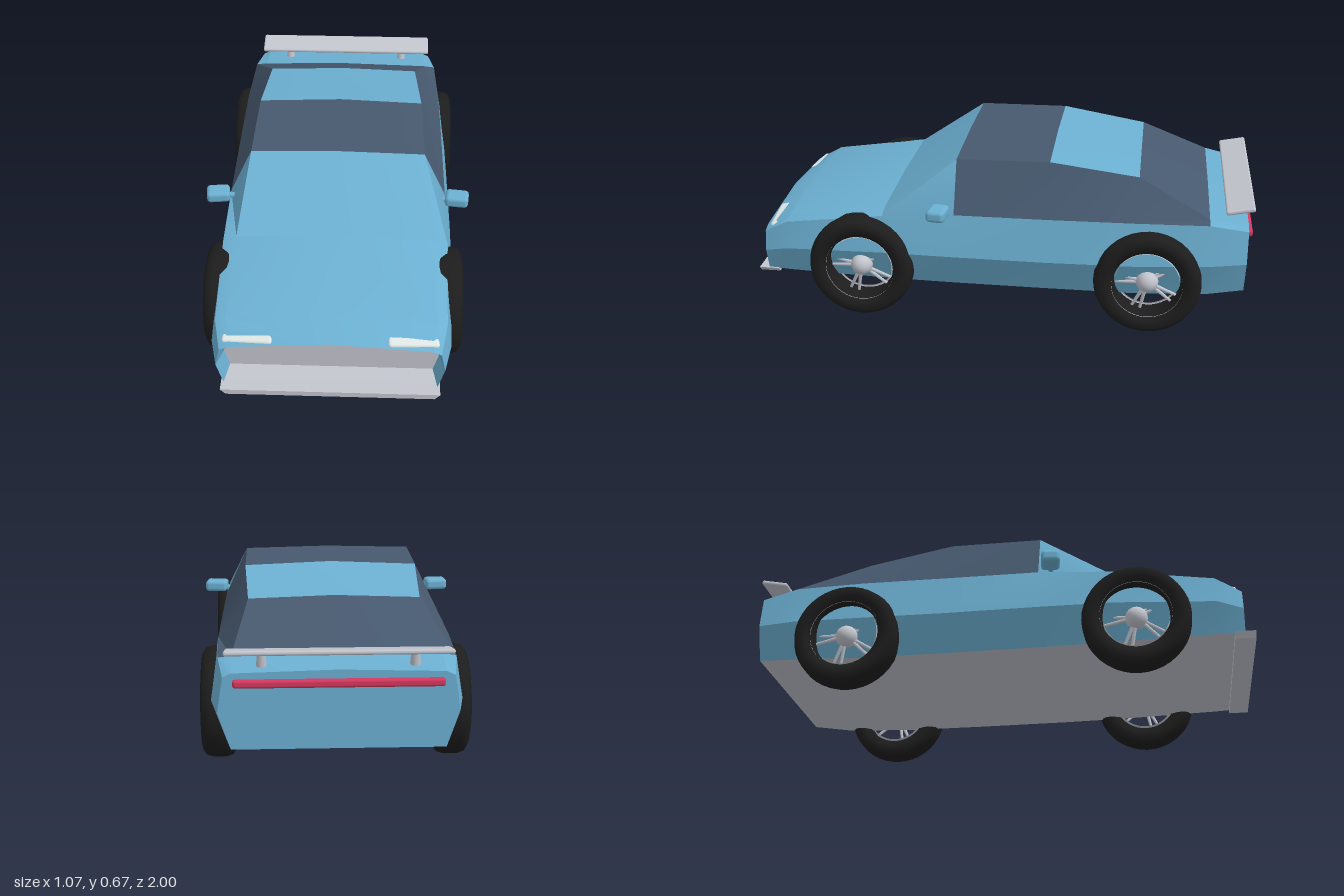
import * as THREE from 'three';
import { toCreasedNormals } from 'three/addons/utils/BufferGeometryUtils.js';
import { RoundedBoxGeometry } from 'three/addons/geometries/RoundedBoxGeometry.js';

const mat = (name, color, side = THREE.FrontSide) => {
  const m = new THREE.MeshStandardMaterial({ color, side });
  m.name = name;
  return m;
};

export function createModel() {
  const car = new THREE.Group();
  car.name = 'sportsCar';
  const paint = mat('bluePaint', 0x6cb0d2);
  const glass = mat('darkGlass', 0x47596f);
  const silver = mat('silver', 0xc3c5ce);
  const rubber = mat('tyreRubber', 0x1d1d1d);
  const red = mat('tailRed', 0xd6385f);
  const lamp = mat('lampWhite', 0xdfe8e6);

  const add = (parent, name, geo, material, x = 0, y = 0, z = 0) => {
    const mesh = new THREE.Mesh(geo, material);
    mesh.name = name;
    mesh.position.set(x, y, z);
    parent.add(mesh);
    return mesh;
  };

  // Half cross-section: bottom centre, sill, waist, belt line, roof edge, top centre
  const ring = (z, sill, waist, belt, roof, top) =>
    [[0, sill[1]], sill, waist, belt, roof, [0, top]].map(([x, y]) => [x, y, z]);
  const rings = [
    ring(0.96, [0.40, 0.15], [0.425, 0.24], [0.408, 0.32], [0.37, 0.335], 0.36),
    ring(0.86, [0.405, 0.147], [0.45, 0.265], [0.43, 0.375], [0.39, 0.388], 0.405),
    ring(0.46, [0.41, 0.138], [0.468, 0.28], [0.442, 0.43], [0.39, 0.445], 0.455),
    ring(0.17, [0.41, 0.135], [0.472, 0.28], [0.442, 0.45], [0.35, 0.652], 0.66),
    ring(-0.2, [0.41, 0.135], [0.472, 0.28], [0.442, 0.452], [0.345, 0.656], 0.67),
    ring(-0.55, [0.41, 0.137], [0.47, 0.285], [0.44, 0.456], [0.325, 0.603], 0.614),
    ring(-0.83, [0.405, 0.15], [0.455, 0.295], [0.428, 0.457], [0.38, 0.463], 0.472),
    ring(-0.98, [0.38, 0.165], [0.425, 0.3], [0.405, 0.43], [0.375, 0.445], 0.455),
  ];
  const mouth = ring(0.87, [0.385, 0.155], [0.405, 0.225], [0.385, 0.295], [0.35, 0.31], 0.322);

  // Body panels are gathered by part, each quad mirrored across x = 0
  const parts = {};
  const quad = (part, a, b, c, d) => (parts[part] ??= []).push(...[a, b, c, a, c, d].flat());
  const flip = ([x, y, z]) => [-x, y, z];
  const strip = (first, second, partOf) => {
    for (let i = 0; i < 5; i++) {
      const [a, b, c, d] = [first[i], second[i], second[i + 1], first[i + 1]];
      quad(partOf(i), a, b, c, d);
      quad(partOf(i), flip(d), flip(c), flip(b), flip(a));
    }
  };
  const cap = (r, part, front) => {
    for (let i = 1; i < 5; i++) {
      const q = [flip(r[i]), r[i], r[i + 1], flip(r[i + 1])];
      quad(part, ...(front ? q : q.reverse()));
    }
  };
  for (let s = 0; s < 7; s++) {
    strip(rings[s], rings[s + 1], (i) => {
      if (i === 0) return 'underbody';
      const cabin = s >= 3 && s <= 5;
      if (cabin && i === 3) return 'windows';
      if (cabin && i === 4 && s !== 4) return 'windows';
      return 'bodyShell';
    });
  }
  strip(mouth, rings[0], (i) => (i === 0 ? 'grille' : 'bodyShell'));
  cap(mouth, 'grille', true);
  cap(rings[7], 'bodyShell', false);
  const partMaterial = { bodyShell: paint, windows: glass, underbody: silver, grille: silver };
  for (const [name, points] of Object.entries(parts)) {
    const geo = new THREE.BufferGeometry();
    geo.setAttribute('position', new THREE.Float32BufferAttribute(points, 3));
    add(car, name, toCreasedNormals(geo, 0.4), partMaterial[name]);
  }

  // Wheels: lathed tyre and rim, hub and five twin spokes, outside facing +x
  const lathe = (pts) => new THREE.LatheGeometry(pts.map(([r, y]) => new THREE.Vector2(r, y)), 40).rotateZ(-Math.PI / 2);
  const tyreGeo = lathe([[0.135, -0.045], [0.16, -0.06], [0.185, -0.062], [0.204, -0.05], [0.212, -0.025],
    [0.212, 0.025], [0.204, 0.05], [0.185, 0.062], [0.16, 0.06], [0.135, 0.045], [0.13, 0], [0.135, -0.045]]);
  const rimGeo = lathe([[0.128, 0.035], [0.134, 0.046], [0.14, 0.05], [0.137, 0.035], [0.136, -0.045], [0.126, -0.045], [0.128, 0.035]]);
  const hubGeo = new THREE.SphereGeometry(0.044, 20, 14);
  const spokeGeo = new THREE.CylinderGeometry(0.006, 0.008, 0.115, 8);
  const makeWheel = (name, side, z) => {
    const wheel = new THREE.Group();
    wheel.name = name;
    wheel.position.set(side * 0.437, 0.215, z);
    if (side < 0) wheel.rotation.y = Math.PI;
    add(wheel, 'tyre', tyreGeo, rubber);
    add(wheel, 'rim', rimGeo, silver);
    add(wheel, 'hub', hubGeo, silver, 0.012);
    for (let k = 0; k < 5; k++) {
      for (const offset of [-0.13, 0.13]) {
        const arm = new THREE.Group();
        arm.name = 'spoke';
        arm.rotation.x = (k / 5) * Math.PI * 2 + Math.PI / 2 + offset;
        add(arm, 'spokeBar', spokeGeo, silver, 0.004, 0.078).rotation.z = 0.18;
        wheel.add(arm);
      }
    }
    car.add(wheel);
  };

  // Paired parts
  for (const side of [1, -1]) {
    const label = side > 0 ? 'left' : 'right';
    makeWheel(label + 'FrontWheel', side, 0.55);
    makeWheel(label + 'RearWheel', side, -0.6);

    const mirror = add(car, label + 'Mirror', new RoundedBoxGeometry(0.095, 0.048, 0.075, 2, 0.016), paint, side * 0.487, 0.475, 0.225);
    mirror.rotation.y = side * -0.12;
    const arm = add(car, label + 'MirrorArm', new THREE.CylinderGeometry(0.012, 0.012, 0.06, 8), paint, side * 0.44, 0.465, 0.22);
    arm.rotation.z = Math.PI / 2;

    const light = add(car, label + 'Headlight', new RoundedBoxGeometry(0.19, 0.027, 0.045, 3, 0.012), lamp, side * 0.305, 0.345, 0.925);
    light.rotation.set(0.2, side * 0.06, side * -0.06);

    const post = add(car, label + 'SpoilerPost', new THREE.CylinderGeometry(0.016, 0.02, 0.06, 10), silver, side * 0.27, 0.475, -0.925);
    post.rotation.x = -0.15;
  }

  // Front splitter, narrower underneath
  const splitter = new THREE.BoxGeometry(0.82, 0.022, 0.08);
  const pos = splitter.attributes.position;
  for (let i = 0; i < pos.count; i++) if (pos.getY(i) < 0) pos.setX(i, pos.getX(i) * 0.95);
  splitter.computeVertexNormals();
  add(car, 'frontSplitter', splitter, silver, 0, 0.14, 0.96);

  // Rear wing, tilted up to the back, and the light bar below it
  const wing = add(car, 'rearWing', new RoundedBoxGeometry(0.8, 0.018, 0.112, 2, 0.008), silver, 0, 0.51, -0.944);
  wing.rotation.x = 0.2;
  add(car, 'tailLightBar', new RoundedBoxGeometry(0.74, 0.03, 0.04, 2, 0.01), red, 0, 0.408, -0.978);

  return car;
}
